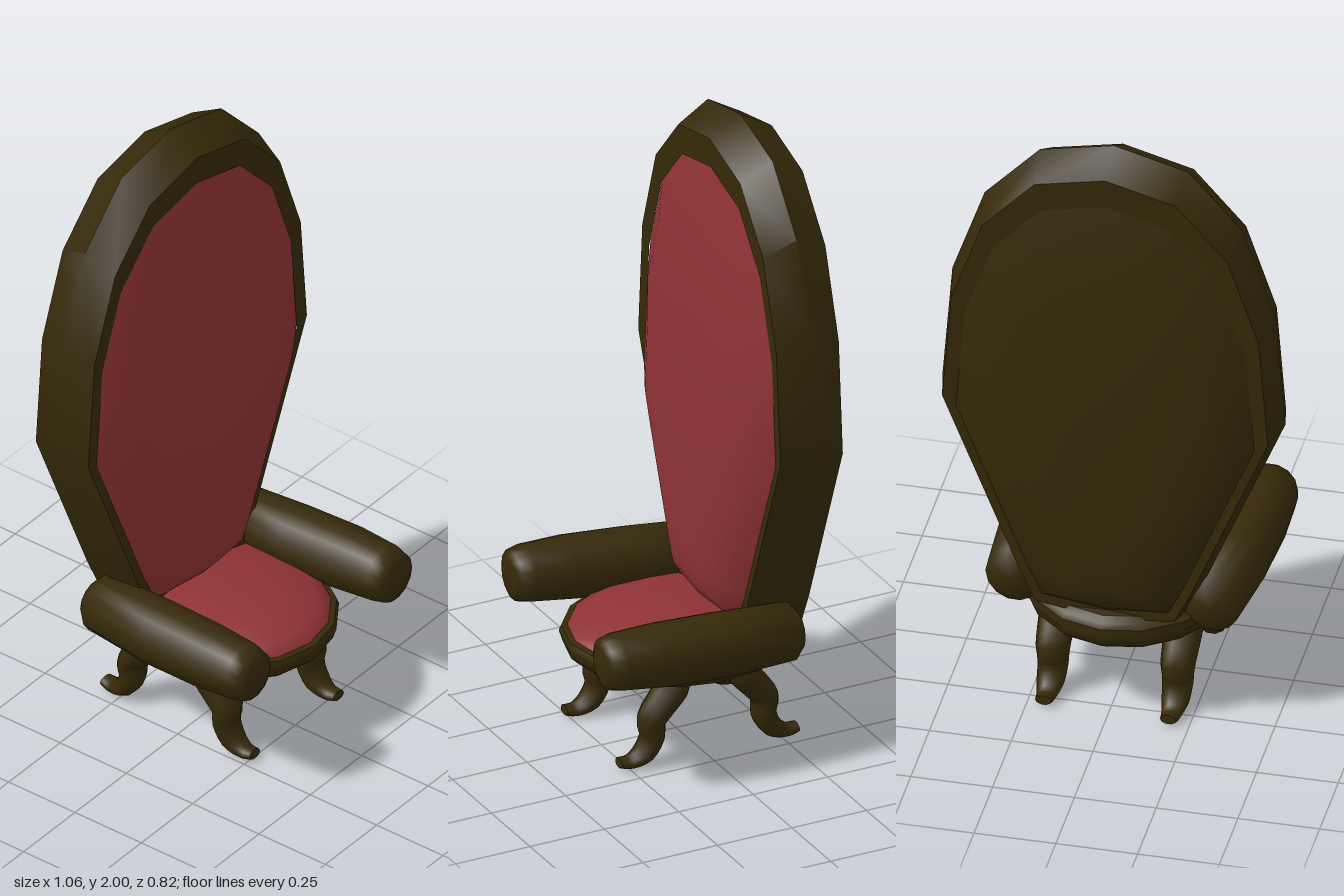
import * as THREE from 'three';
import { toCreasedNormals } from 'three/addons/utils/BufferGeometryUtils.js';

const wood = new THREE.MeshStandardMaterial({ color: 0x352908 });
wood.name = 'dark wood';
const fabric = new THREE.MeshStandardMaterial({ color: 0x8e3235 });
fabric.name = 'red fabric';

// Skin a list of closed rings (counter-clockwise seen from the last ring)
function loft(rings, crease = 0.75) {
  const n = rings[0].length;
  const index = [];
  for (let i = 0; i < rings.length - 1; i++) {
    for (let j = 0; j < n; j++) {
      const k = (j + 1) % n;
      const a = i * n + j, b = i * n + k, c = a + n, d = b + n;
      index.push(a, b, d, a, d, c);
    }
  }
  const geo = new THREE.BufferGeometry();
  geo.setAttribute('position', new THREE.Float32BufferAttribute(
    rings.flat().flatMap(p => [p.x, p.y, p.z]), 3));
  geo.setIndex(index);
  return toCreasedNormals(geo, crease);
}

function part(name, geo, material) {
  const mesh = new THREE.Mesh(geo, material);
  mesh.name = name;
  return mesh;
}

// Tall egg-shaped outline of the backrest, cut wide where it meets the seat
const half = [[0.225, 0.365], [0.28, 0.48], [0.53, 1.09], [0.50, 1.47], [0.40, 1.76], [0.23, 1.945]];
const outline = [
  [0, 0.34], ...half, [0, 2],
  ...half.slice().reverse().map(([x, y]) => [-x, y]),
];
const FRAME_Y = 0.8, PAD_Y = 0.62;
const backRing = (s, z) => outline.map(([x, y]) =>
  new THREE.Vector3(x * s, FRAME_Y + (y - FRAME_Y) * s, z));

// Domed pad inside the frame, shrinking towards a low centre: [scale, depth]
const dome = [[1, 0], [0.95, 0.015], [0.87, 0.038], [0.75, 0.062], [0.6, 0.08], [0.4, 0.092], [0.2, 0.098], [0, 0.1]];
const padRing = (s, z) => backRing(0.895, z).map(p =>
  p.set(p.x * s, PAD_Y + (p.y - PAD_Y) * s, z));

// Sixteen-sided oval ring of the seat, optionally cut off at maxZ
const seatRing = (s, y, maxZ = 1) => Array.from({ length: 16 }, (_, i) => {
  const a = (i / 16) * Math.PI * 2;
  const z = -0.015 - 0.365 * s * Math.sin(a);
  return new THREE.Vector3(0.325 * s * Math.cos(a), y, Math.min(z, maxZ));
});

function armGeometry(side) {
  // z, centre x, centre y, radius x, radius y
  const sections = [
    [-0.26, 0.305, 0.41, 0, 0], [-0.26, 0.305, 0.41, 0.065, 0.065],
    [-0.235, 0.305, 0.41, 0.088, 0.092], [0, 0.315, 0.417, 0.1, 0.103],
    [0.2, 0.323, 0.43, 0.1, 0.1], [0.34, 0.325, 0.438, 0.09, 0.09],
    [0.382, 0.325, 0.438, 0.078, 0.08], [0.393, 0.325, 0.438, 0.052, 0.055],
    [0.393, 0.325, 0.438, 0, 0],
  ];
  return loft(sections.map(([z, cx, cy, rx, ry]) =>
    Array.from({ length: 14 }, (_, i) => {
      const a = (i / 14) * Math.PI * 2;
      return new THREE.Vector3(side * cx + rx * Math.cos(a), cy + ry * Math.sin(a), z);
    })), 1);
}

// S-shaped leg with a tapering, outward foot
function legGeometry(side, end) {
  const path = new THREE.CatmullRomCurve3(
    [[0.085, 0.285], [0.095, 0.245], [0.13, 0.2], [0.165, 0.15], [0.163, 0.095], [0.19, 0.045], [0.235, 0.022], [0.272, 0.026]]
      .map(([z, y]) => new THREE.Vector3(side * 0.193, y, end > 0 ? z : -0.04 - z)));
  const radii = [0.045, 0.05, 0.047, 0.043, 0.038, 0.033, 0.021, 0.015];
  const xAxis = new THREE.Vector3(1, 0, 0);
  const steps = 21;
  const rings = [];
  for (let i = 0; i <= steps; i++) {
    const t = i / steps;
    const p = path.getPoint(t);
    const v = path.getTangent(t).cross(xAxis).normalize();
    const f = t * (radii.length - 1), k = Math.min(Math.floor(f), radii.length - 2);
    const r = THREE.MathUtils.lerp(radii[k], radii[k + 1], f - k);
    rings.push(Array.from({ length: 10 }, (_, j) => {
      const a = (j / 10) * Math.PI * 2;
      return p.clone().addScaledVector(xAxis, (r + 0.01) * Math.cos(a))
        .addScaledVector(v, r * Math.sin(a));
    }));
  }
  const tip = path.getPoint(1);
  rings.push(rings[0].map(() => tip.clone()));
  return loft(rings, 1);
}

export function createModel() {
  const chair = new THREE.Group();
  chair.name = 'armchair';

  // Backrest: ridged frame, red front pad, wooden back panel
  chair.add(part('backFrame', loft([
    backRing(0.87, -0.318), backRing(0.95, -0.32), backRing(1, -0.217),
    backRing(0.95, -0.115), backRing(0.87, -0.119),
  ]), wood));
  chair.add(part('backCushion', loft(
    dome.map(([s, d]) => padRing(s, -0.13 + d)), 1), fabric));
  chair.add(part('backPanel', loft(
    dome.slice().reverse().map(([s, d]) => padRing(s, -0.31 - 0.95 * d)), 1), wood));

  // Seat base, its cushion, and the raised wooden lip behind the backrest
  chair.add(part('seatBase', loft([
    [0, 0.268], [0.6, 0.27], [0.92, 0.282], [0.97, 0.3], [1, 0.335], [0.98, 0.352], [0.9, 0.355],
  ].map(([s, y]) => seatRing(s, y))), wood));
  chair.add(part('seatCushion', loft([
    [0.94, 0.345], [0.92, 0.362], [0.8, 0.385], [0.55, 0.405], [0.25, 0.418], [0, 0.42],
  ].map(([s, y]) => seatRing(s, y)), 1), fabric));
  chair.add(part('seatBackLip', loft([
    [1, 0.33], [1, 0.36], [0.94, 0.368], [0.9, 0.388], [0.55, 0.413], [0, 0.425],
  ].map(([s, y]) => seatRing(s, y, -0.17))), wood));

  // Arms and legs
  for (const [side, label] of [[1, 'left'], [-1, 'right']]) {
    chair.add(part(label + 'Arm', armGeometry(side), wood));
    chair.add(part(label + 'FrontLeg', legGeometry(side, 1), wood));
    chair.add(part(label + 'BackLeg', legGeometry(side, -1), wood));
  }

  // The chair stands turned very slightly to one side
  chair.rotation.y = -0.045;
  chair.position.x = -0.01;
  const model = new THREE.Group();
  model.add(chair);
  return model;
}
